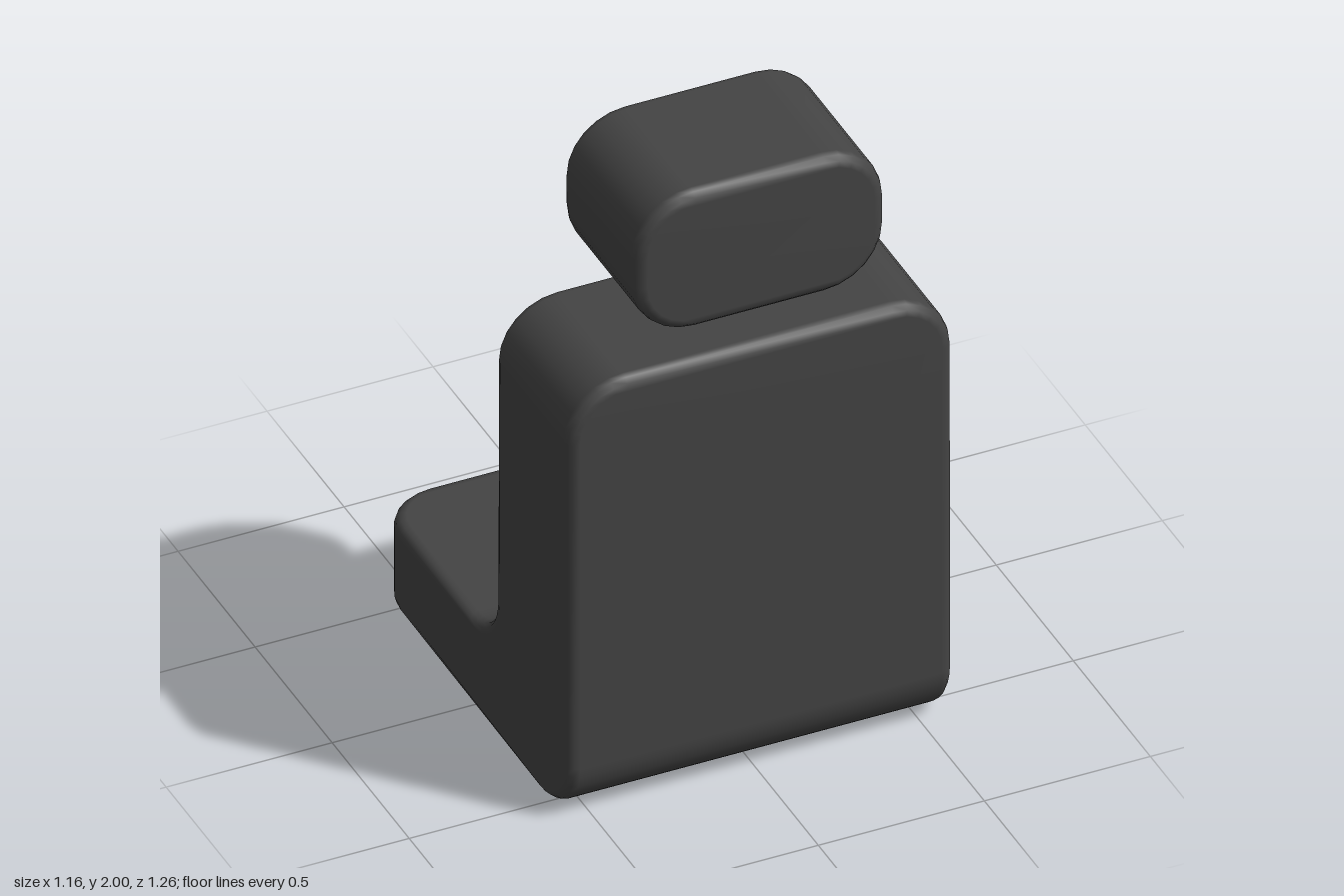
import * as THREE from 'three';

const BEVEL = 0.035;
const STEPS = 6; // segments per large rounded corner

// Bevelled edge layers through the thickness: inset from the outline, depth from the near face
const half = [0, 1, 2, 3].map((k) => {
  const a = (k / 3) * Math.PI / 2;
  return { inset: BEVEL * (1 - Math.sin(a)), depth: BEVEL * (1 - Math.cos(a)) };
});
const LAYERS = [
  ...half.map((l) => ({ ...l, far: false })),
  ...half.slice().reverse().map((l) => ({ ...l, far: true })),
];

// Rounded end of a pad: place(e) gives the near and far [y, z] at distance e from the end
function roundedEnd(halfWidth, radius, place) {
  return Array.from({ length: STEPS + 1 }, (_, k) => (inset) => {
    const a = (k / STEPS) * Math.PI / 2;
    const r = radius - inset;
    return {
      w: halfWidth - inset - r * (1 - Math.sin(a)),
      ...place(inset + r * (1 - Math.cos(a))),
    };
  });
}

// Skins a cushion through its stations and closes both ends
function cushion(stations) {
  const n = LAYERS.length, ring = 2 * n;
  const pos = [], index = [];
  for (const station of stations) {
    const row = LAYERS.map(({ inset, depth, far }) => {
      const s = station(inset);
      const A = new THREE.Vector2(...s.near), B = new THREE.Vector2(...s.far);
      const f = depth / A.distanceTo(B);
      const p = A.lerp(B, far ? 1 - f : f);
      return [s.w, p.x, p.y];
    });
    for (const p of row) pos.push(...p);
    for (const p of row.slice().reverse()) pos.push(-p[0], p[1], p[2]);
  }
  for (let k = 0; k < stations.length - 1; k++) {
    for (let j = 0; j < ring; j++) {
      const a = k * ring + j, b = k * ring + (j + 1) % ring;
      index.push(a, b, b + ring, a, b + ring, a + ring);
    }
  }
  const last = (stations.length - 1) * ring;
  for (let l = 0; l < n - 1; l++) {
    const p = l, q = l + 1, mp = ring - 1 - l, mq = ring - 2 - l;
    index.push(p, mp, q, q, mp, mq);
    index.push(last + p, last + q, last + mp, last + q, last + mq, last + mp);
  }
  const geo = new THREE.BufferGeometry();
  geo.setAttribute('position', new THREE.Float32BufferAttribute(pos, 3));
  geo.setIndex(index);
  geo.computeVertexNormals();
  return geo;
}

export function createModel() {
  const group = new THREE.Group();
  const material = new THREE.MeshStandardMaterial({ color: 0x444444 });
  const add = (name, geo, x = 0, y = 0, z = 0) => {
    const mesh = new THREE.Mesh(geo, material);
    mesh.name = name;
    mesh.position.set(x, y, z);
    group.add(mesh);
  };

  const zFront = 0.15, zBack = 0.63; // faces of the backrest
  const seatTop = 0.29, width = 0.58, bend = 0.18;

  // Backrest and seat: one L-shaped cushion, filleted where it bends
  const bends = Array.from({ length: 9 }, (_, k) => (inset) => {
    const a = (k / 8) * Math.PI / 2;
    const c = bend * (1 - Math.cos(a)), s = bend * (1 - Math.sin(a));
    return {
      w: width - inset,
      near: [seatTop + s, zFront - c],
      far: [s, zBack - c],
    };
  });
  add('seatAndBackrest', cushion([
    ...roundedEnd(width, 0.18, (e) => ({ near: [1.44 - e, zFront], far: [1.44 - e, zBack] })),
    ...bends,
    ...roundedEnd(width, 0.16, (e) => ({ near: [seatTop, e - 0.63], far: [0, e - 0.63] })).reverse(),
  ]));

  // Headrest
  add('headrest', cushion([
    ...roundedEnd(0.376, 0.18, (e) => ({ near: [2 - e, zFront], far: [2 - e, zBack] })),
    ...roundedEnd(0.376, 0.18, (e) => ({ near: [1.545 + e, zFront], far: [1.545 + e, zBack] })).reverse(),
  ]));

  // Headrest posts
  for (const [name, x] of [['leftPost', 0.13], ['rightPost', -0.13]]) {
    add(name, new THREE.CylinderGeometry(0.032, 0.032, 0.2, 16), x, 1.49, 0.39);
  }
  return group;
}
